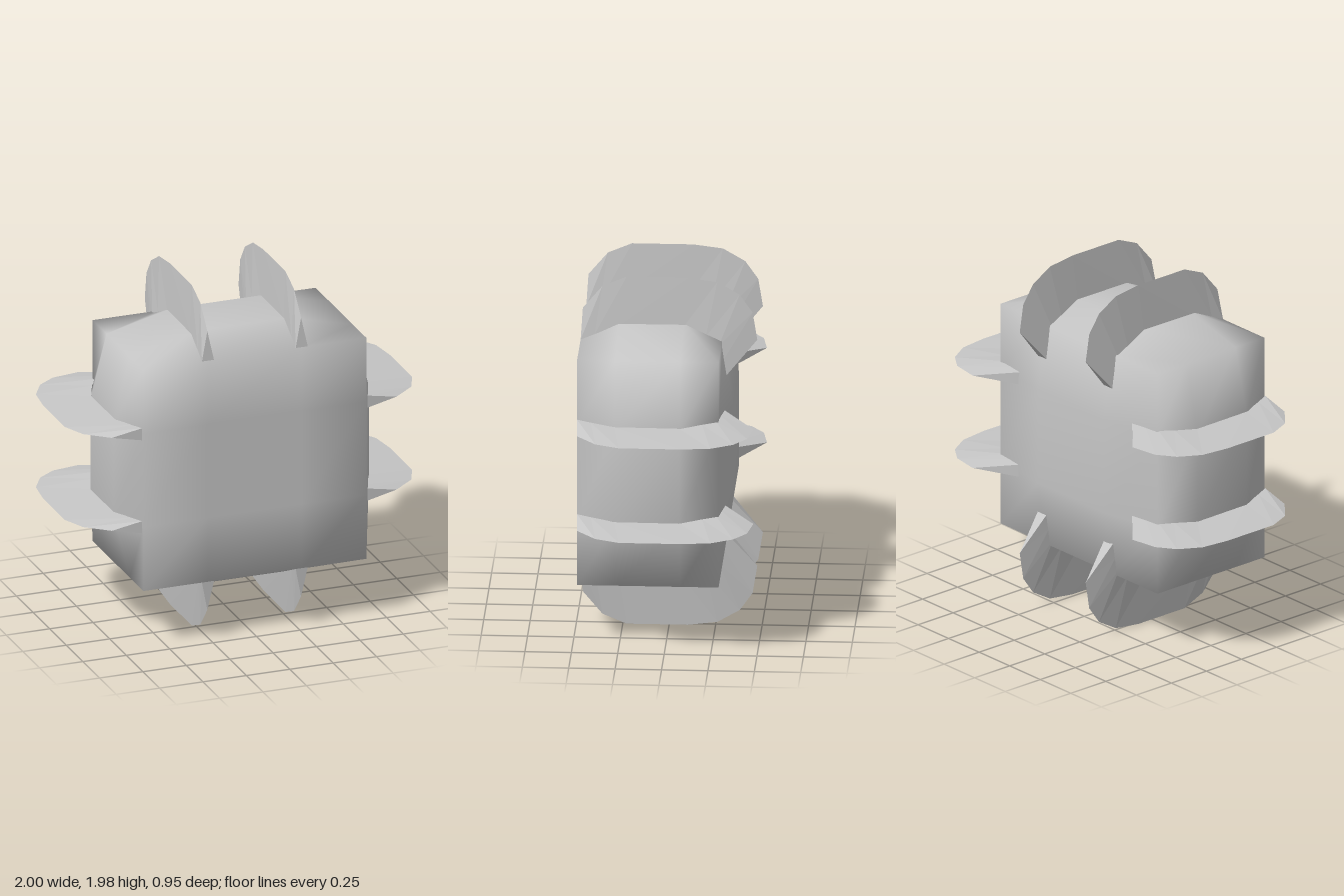
import * as THREE from 'three';
import { mergeVertices } from 'three/addons/utils/BufferGeometryUtils.js';

const MID = 0.99; // height of the body's centre

// Cushion-like block: straight edges, flat front, the other five faces bulge
function bodyGeometry() {
  let g = new THREE.BoxGeometry(2, 2, 2, 3, 3, 3);
  g.deleteAttribute('normal');
  g.deleteAttribute('uv');
  g = mergeVertices(g, 1e-3);
  const p = g.attributes.position;
  const outer = (v) => Math.abs(v) > 0.9;
  for (let i = 0; i < p.count; i++) {
    const c = [p.getX(i), p.getY(i), p.getZ(i)];
    const inner = c.filter(outer).length === 1;
    const side = (v) => Math.sign(v) * (outer(v) ? (inner ? 0.735 : 0.642) : 0.27);
    let z = c[2] > 0 ? 0.27 : -0.08;
    if (outer(c[2])) z = c[2] > 0 ? 0.475 : (inner ? -0.345 : -0.287);
    p.setXYZ(i, side(c[0]), side(c[1]), z);
  }
  g.computeVertexNormals();
  return g;
}

// Curved fin with a triangular section: [ridge z, ridge y, base z, base y, base half width]
const SECTIONS = [
  [0.465, 0.81, 0.475, 0.64, 0.035],
  [0.36, 0.935, 0.4, 0.67, 0.03],
  [0.23, 0.99, 0.27, 0.72, 0.024],
  [-0.1, 0.99, -0.08, 0.72, 0.022],
  [-0.26, 0.97, -0.2, 0.67, 0.03],
  [-0.38, 0.9, -0.27, 0.62, 0.035],
  [-0.45, 0.8, -0.295, 0.54, 0.036],
  [-0.475, 0.645, -0.31, 0.45, 0.036],
];

function finGeometry() {
  const pos = [];
  const idx = [];
  SECTIONS.forEach(([rz, ry, bz, by, w]) => pos.push(-w, by, bz, w, by, bz, 0, ry, rz));
  const quad = (a, b, c, d) => idx.push(a, b, c, a, c, d);
  const last = (SECTIONS.length - 1) * 3;
  for (let i = 0; i < last; i += 3) {
    const [l, r, t, l2, r2, t2] = [i, i + 1, i + 2, i + 3, i + 4, i + 5];
    quad(r, r2, t2, t); // one flank
    quad(l, t, t2, l2); // other flank
    quad(l, l2, r2, r); // underside
  }
  idx.push(0, 1, 2, last + 1, last, last + 2); // end caps
  const g = new THREE.BufferGeometry();
  g.setAttribute('position', new THREE.Float32BufferAttribute(pos, 3));
  g.setIndex(idx);
  const flat = g.toNonIndexed();
  flat.computeVertexNormals();
  return flat;
}

export function createModel() {
  const model = new THREE.Group();
  const grey = new THREE.MeshStandardMaterial({ color: 0xc6c6c6 });
  grey.name = 'plain grey';

  const body = new THREE.Mesh(bodyGeometry(), grey);
  body.name = 'body';
  body.position.y = MID;
  model.add(body);

  // A pair of fins on the top, left, bottom and right
  const fin = finGeometry();
  ['top', 'right', 'bottom', 'left'].forEach((where, k) => {
    const pair = new THREE.Group();
    pair.name = where + 'Fins';
    pair.position.y = MID;
    pair.rotation.z = k * Math.PI / 2;
    for (const x of [-0.27, 0.27]) {
      const m = new THREE.Mesh(fin, grey);
      m.name = 'fin';
      m.position.x = x;
      if (k % 2) m.position.y = 0.01;
      pair.add(m);
    }
    model.add(pair);
  });
  return model;
}
